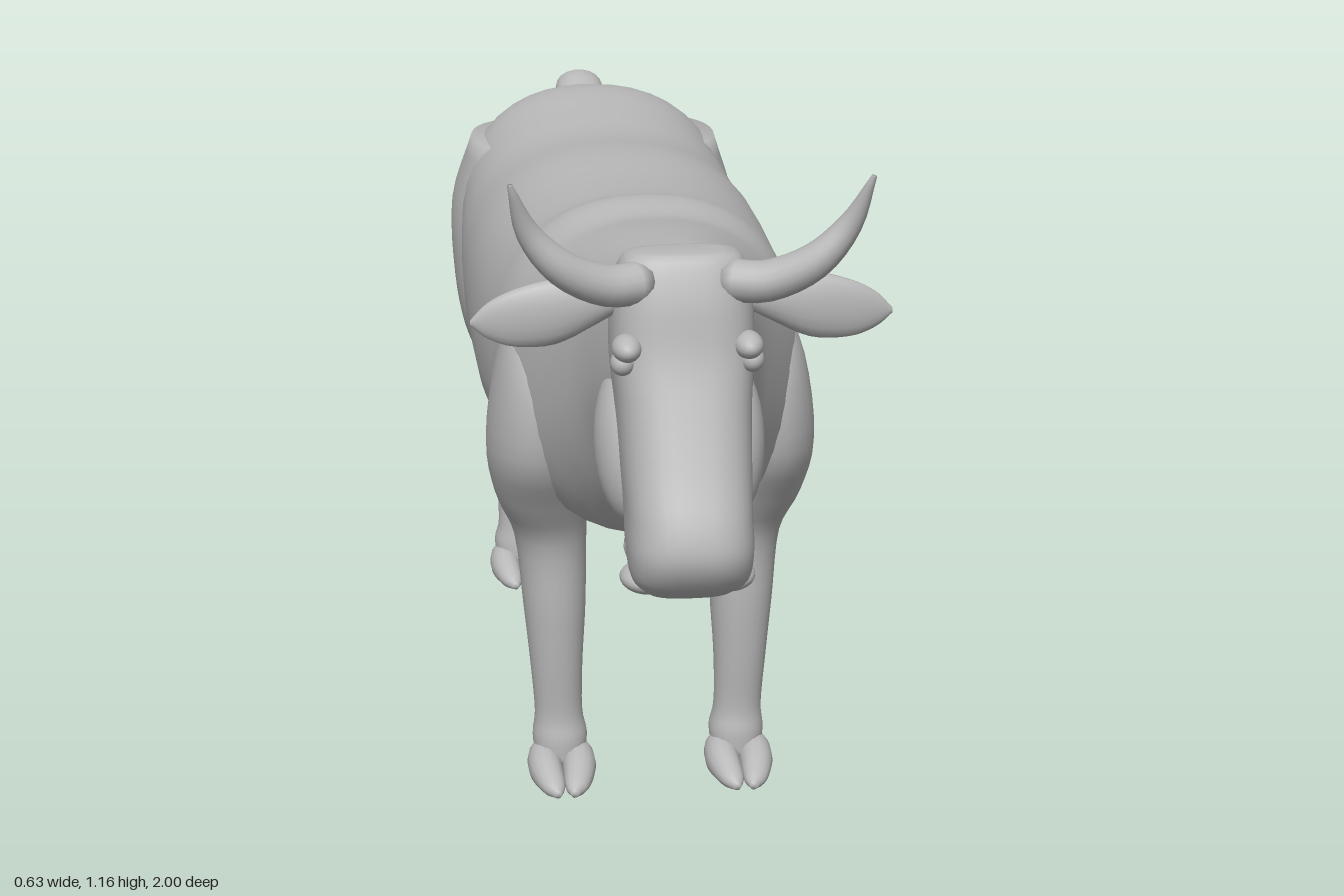
import * as THREE from 'three';

const hide = new THREE.MeshStandardMaterial({ color: 0xb8b8b8 });
hide.name = 'plainGrey';
const X = new THREE.Vector3(1, 0, 0), Z = new THREE.Vector3(0, 0, 1);
const DOWN = new THREE.Vector3(0, -1, 0);

// Smooth skin through stations [x, y, z, radiusU, radiusV].
// Rings lie across `axis`, or across the path itself when axis is null.
function loft(name, stations, { axis = null, ref = X, n = 2, segs = 28, steps = 4, floor = -1 } = {}) {
  const path = new THREE.CatmullRomCurve3(stations.map(s => new THREE.Vector3(s[0], s[1], s[2])), false, 'catmullrom', 0.5);
  const radii = new THREE.CatmullRomCurve3(stations.map(s => new THREE.Vector3(s[3], s[4], 0)), false, 'catmullrom', 0.5);
  const rows = (stations.length - 1) * steps, pos = [], idx = [];
  const put = p => pos.push(p.x, Math.max(floor, p.y), p.z);
  const power = c => Math.sign(c) * Math.pow(Math.abs(c), 2 / n);
  for (let i = 0; i <= rows; i++) {
    const c = path.getPoint(i / rows), r = radii.getPoint(i / rows);
    const t = axis || path.getTangent(i / rows);
    const v = t.clone().cross(ref).normalize(), u = v.clone().cross(t).normalize();
    for (let j = 0; j < segs; j++) {
      const a = j / segs * Math.PI * 2;
      put(c.clone().addScaledVector(u, power(Math.cos(a)) * Math.max(r.x, 0.001))
        .addScaledVector(v, power(Math.sin(a)) * Math.max(r.y, 0.001)));
      if (i < rows) {
        const k = i * segs + j, m = i * segs + (j + 1) % segs;
        idx.push(k, m, k + segs, m, m + segs, k + segs);
      }
    }
  }
  // End caps
  const first = pos.length / 3;
  put(path.getPoint(0));
  put(path.getPoint(1));
  for (let j = 0; j < segs; j++) {
    const m = (j + 1) % segs, b = rows * segs;
    idx.push(first, m, j, first + 1, b + j, b + m);
  }
  const g = new THREE.BufferGeometry();
  g.setAttribute('position', new THREE.Float32BufferAttribute(pos, 3));
  g.setIndex(idx);
  g.computeVertexNormals();
  const mesh = new THREE.Mesh(g, hide);
  mesh.name = name;
  return mesh;
}

function blob(name, x, y, z, rx, ry, rz, tilt = 0) {
  const m = new THREE.Mesh(new THREE.SphereGeometry(1, 24, 16), hide);
  m.name = name;
  m.position.set(x, y, z);
  m.scale.set(rx, ry, rz);
  m.rotation.x = tilt;
  return m;
}

// Cloven hoof with two dewclaws behind, centred under a leg
function foot(x, z) {
  const g = new THREE.Group();
  g.name = 'foot';
  for (const s of [-1, 1]) {
    g.add(loft('toe', [
      [x + s * 0.024, 0.02, z - 0.035, 0.012, 0.015],
      [x + s * 0.027, 0.026, z, 0.027, 0.032],
      [x + s * 0.028, 0.022, z + 0.05, 0.028, 0.03],
      [x + s * 0.02, 0.013, z + 0.1, 0.02, 0.016],
      [x + s * 0.014, 0.008, z + 0.122, 0.006, 0.006]], { axis: Z, segs: 14, floor: 0 }));
    const claw = new THREE.Mesh(new THREE.ConeGeometry(0.011, 0.045, 8), hide);
    claw.name = 'dewclaw';
    claw.position.set(x + s * 0.026, 0.068, z - 0.045);
    claw.rotation.x = -Math.PI / 2;
    g.add(claw);
  }
  return g;
}

export function createModel() {
  const model = new THREE.Group();
  model.name = 'cow';

  // Trunk and neck: [z, top, bottom, half width]
  const trunk = [
    [-0.865, 0.83, 0.74, 0.03], [-0.845, 0.87, 0.69, 0.09], [-0.79, 0.91, 0.63, 0.145],
    [-0.7, 0.945, 0.57, 0.205], [-0.6, 0.962, 0.52, 0.245], [-0.45, 0.95, 0.485, 0.258],
    [-0.3, 0.942, 0.462, 0.266], [-0.1, 0.962, 0.44, 0.27], [0.1, 0.963, 0.43, 0.268],
    [0.25, 0.972, 0.44, 0.26], [0.33, 0.988, 0.445, 0.25], [0.42, 0.978, 0.45, 0.238],
    [0.5, 0.99, 0.47, 0.212], [0.58, 1.003, 0.54, 0.178], [0.66, 1.013, 0.63, 0.143],
    [0.75, 1.022, 0.7, 0.112], [0.82, 1.022, 0.78, 0.085]];
  model.add(loft('body', trunk.map(([z, t, b, w]) => [0, (t + b) / 2, z, w, (t - b) / 2]),
    { axis: Z, n: 2.3, segs: 40 }));

  // Head: [y, face z, back z, half width]
  const head = [
    [1.028, 0.835, 0.78, 0.06], [1.012, 0.85, 0.73, 0.09], [0.96, 0.87, 0.69, 0.104],
    [0.88, 0.888, 0.67, 0.108], [0.8, 0.92, 0.67, 0.102], [0.72, 0.957, 0.7, 0.098],
    [0.65, 0.992, 0.75, 0.094], [0.6, 1.0, 0.79, 0.094], [0.555, 0.975, 0.82, 0.088],
    [0.528, 0.935, 0.845, 0.065]];
  model.add(loft('head', head.map(([y, f, b, w]) => [0, y, (f + b) / 2, w, (f - b) / 2]),
    { axis: DOWN, n: 2.8, segs: 36 }));
  model.add(blob('lowerJaw', 0, 0.575, 0.835, 0.092, 0.04, 0.07, 0.5));

  for (const s of [-1, 1]) {
    // Face details
    model.add(blob('cheek', s * 0.075, 0.72, 0.765, 0.055, 0.125, 0.075, -0.35));
    model.add(blob('lip', s * 0.06, 0.542, 0.875, 0.042, 0.022, 0.05));
    model.add(blob('brow', s * 0.09, 0.895, 0.86, 0.022, 0.02, 0.035));
    model.add(blob('eye', s * 0.096, 0.872, 0.858, 0.018, 0.019, 0.022));

    model.add(loft('horn', [
      [s * 0.06, 0.985, 0.825, 0.034, 0.032], [s * 0.12, 0.988, 0.848, 0.033, 0.031],
      [s * 0.185, 1.022, 0.87, 0.028, 0.027], [s * 0.235, 1.08, 0.88, 0.018, 0.018],
      [s * 0.262, 1.157, 0.91, 0.004, 0.004]], { ref: Z, segs: 16 }));

    model.add(loft('ear', [
      [s * 0.08, 0.952, 0.79, 0.018, 0.012], [s * 0.13, 0.948, 0.8, 0.022, 0.033],
      [s * 0.19, 0.938, 0.805, 0.022, 0.05], [s * 0.25, 0.93, 0.805, 0.016, 0.044],
      [s * 0.29, 0.926, 0.802, 0.01, 0.027], [s * 0.315, 0.923, 0.8, 0.003, 0.004]],
      { axis: new THREE.Vector3(s, 0, 0), ref: Z, segs: 18 }));

    // Front leg with shoulder: [x, y, z, half width, half depth]
    model.add(loft('frontLeg', [
      [s * 0.17, 0.84, 0.37, 0.04, 0.05], [s * 0.18, 0.74, 0.39, 0.07, 0.125],
      [s * 0.188, 0.6, 0.385, 0.081, 0.135], [s * 0.178, 0.5, 0.36, 0.076, 0.105],
      [s * 0.162, 0.42, 0.345, 0.06, 0.078], [s * 0.157, 0.3, 0.358, 0.052, 0.06],
      [s * 0.155, 0.2, 0.366, 0.044, 0.046], [s * 0.152, 0.11, 0.367, 0.04, 0.038],
      [s * 0.15, 0.065, 0.366, 0.046, 0.046], [s * 0.15, 0.025, 0.372, 0.04, 0.04]],
      { axis: DOWN, n: 2.1 }));
    model.add(foot(s * 0.15, 0.37));

    // Hind leg with thigh
    model.add(loft('hindLeg', [
      [s * 0.15, 0.88, -0.57, 0.08, 0.13], [s * 0.168, 0.75, -0.58, 0.1, 0.19],
      [s * 0.172, 0.62, -0.545, 0.095, 0.165], [s * 0.17, 0.52, -0.54, 0.08, 0.135],
      [s * 0.16, 0.44, -0.56, 0.06, 0.085], [s * 0.154, 0.37, -0.587, 0.05, 0.055],
      [s * 0.153, 0.32, -0.596, 0.049, 0.048], [s * 0.152, 0.22, -0.576, 0.041, 0.038],
      [s * 0.151, 0.11, -0.568, 0.037, 0.034], [s * 0.15, 0.065, -0.573, 0.046, 0.045],
      [s * 0.15, 0.025, -0.565, 0.04, 0.04]], { axis: DOWN, n: 2.1 }));
    model.add(foot(s * 0.15, -0.575));

    // Teats
    for (const z of [-0.33, -0.41]) model.add(blob('teat', s * 0.04, 0.422, z, 0.011, 0.022, 0.011));
  }
  model.add(blob('udder', 0, 0.465, -0.36, 0.08, 0.043, 0.1));

  // Tail and its tuft
  model.add(loft('tail', [
    [0, 0.89, -0.81, 0.05, 0.035], [0, 0.91, -0.855, 0.045, 0.032],
    [0, 0.885, -0.892, 0.04, 0.026], [0, 0.79, -0.92, 0.033, 0.023],
    [0, 0.65, -0.94, 0.026, 0.02], [0, 0.42, -0.955, 0.022, 0.017]], { segs: 18 }));
  model.add(loft('tailTuft', [
    [0, 0.445, -0.956, 0.022, 0.016], [0, 0.41, -0.958, 0.043, 0.03],
    [0, 0.365, -0.962, 0.05, 0.036], [0, 0.31, -0.963, 0.03, 0.024],
    [0, 0.275, -0.962, 0.003, 0.003]], { axis: DOWN, segs: 18 }));

  return model;
}
